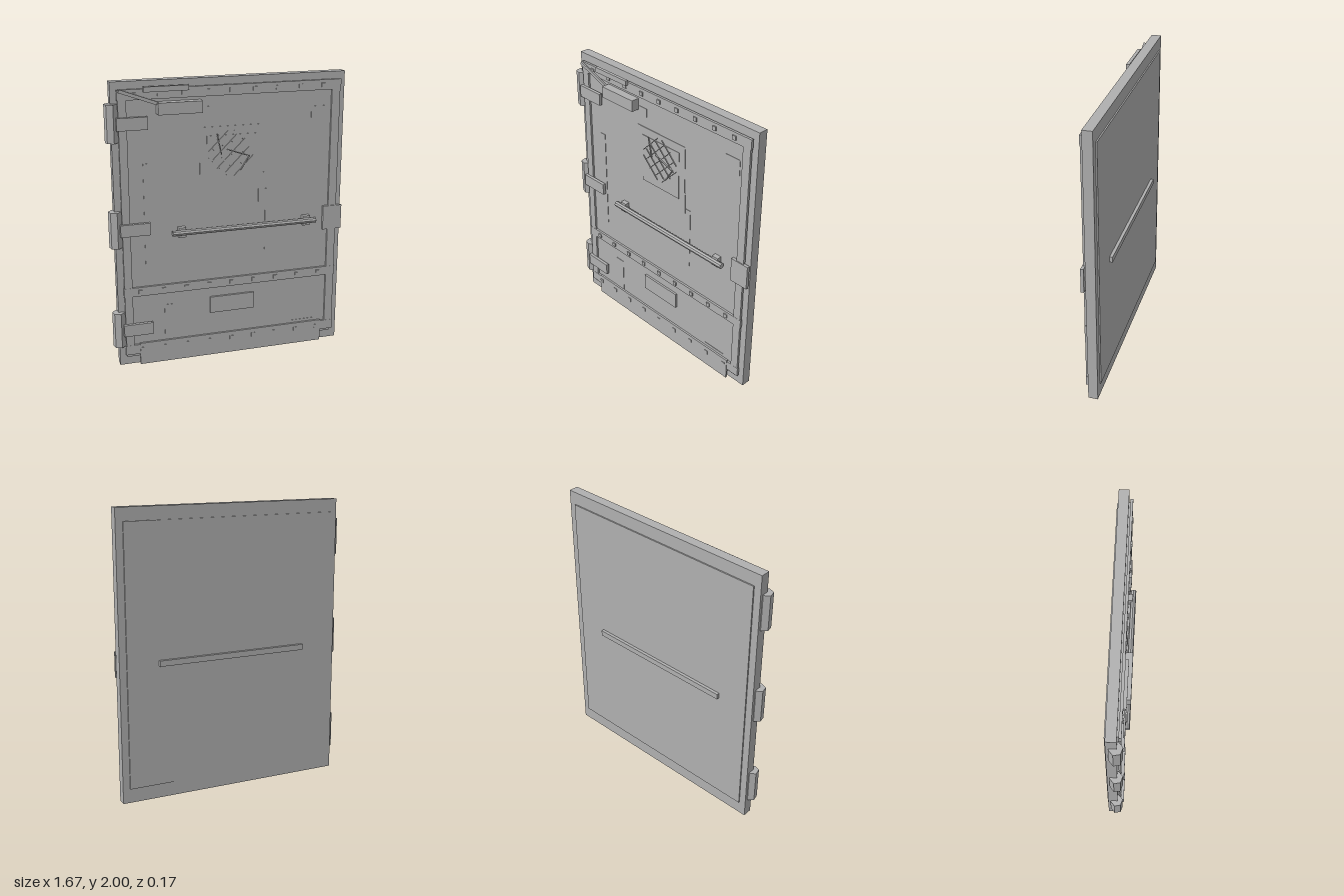
import * as THREE from 'three';

export function createModel() {
  const root = new THREE.Group();
  root.name = 'steelDoor';
  const steel = new THREE.MeshStandardMaterial({ color: 0xb0b0b0 });
  steel.name = 'grey steel';

  const add = (name, geometry, x, y, z) => {
    const mesh = new THREE.Mesh(geometry, steel);
    mesh.name = name;
    mesh.position.set(x, y, z);
    root.add(mesh);
    return mesh;
  };
  // Box given by its limits
  const box = (name, x0, x1, y0, y1, z0, z1) =>
    add(name, new THREE.BoxGeometry(x1 - x0, y1 - y0, z1 - z0), (x0 + x1) / 2, (y0 + y1) / 2, (z0 + z1) / 2);
  // Thin flat strip between two points on the face
  const strip = (name, x0, y0, x1, y1, width, z, depth) => {
    const mesh = add(name, new THREE.BoxGeometry(Math.hypot(x1 - x0, y1 - y0), width, depth), (x0 + x1) / 2, (y0 + y1) / 2, z);
    mesh.rotation.z = Math.atan2(y1 - y0, x1 - x0);
    return mesh;
  };
  const flat = (geometry) => {
    const g = geometry.toNonIndexed();
    g.computeVertexNormals();
    return g;
  };

  // Slab with its front and back skins
  box('slab', -0.8, 0.835, 0, 2, -0.057, 0.01);
  box('frontPanel', -0.75, 0.78, 0.06, 1.94, 0.01, 0.021);
  box('backPanel', -0.75, 0.785, 0.1, 1.91, -0.066, -0.057);
  box('backPushBar', -0.53, 0.56, 0.94, 0.98, -0.087, -0.06);

  // Raised front frame
  box('leftStile', 0.735, 0.795, 0.08, 1.95, 0.019, 0.035);
  box('rightStile', -0.755, -0.7, 0.08, 1.95, 0.019, 0.035);
  box('topRail', -0.76, 0.8, 1.88, 1.95, 0.019, 0.036);
  box('middleRail', -0.76, 0.8, 0.515, 0.58, 0.019, 0.036);
  box('bottomRail', -0.76, 0.8, 0.08, 0.15, 0.019, 0.036);
  box('kickPlate', -0.66, 0.7, 0, 0.16, 0.026, 0.04);
  box('lockPlate', 0.695, 0.835, 0.87, 1.045, 0.021, 0.042);
  box('nameplate', -0.145, 0.18, 0.325, 0.445, 0.02, 0.036);

  // Rivet rows
  for (const y of [1.915, 0.548, 0.115])
    for (let i = 0; i < 9; i++) {
      const x = -0.645 + 0.164 * i;
      box('rivet', x - 0.014, x + 0.014, y - 0.014, y + 0.014, 0.03, 0.044);
    }

  // Hinges: six-sided barrel and strap
  for (const [y, top] of [[0.275, 0.315], [1.005, 1.045], [1.73, 1.77]]) {
    const barrel = add('hingeBarrel', flat(new THREE.CylinderGeometry(0.045, 0.045, 0.255, 6)), -0.797, y, 0.004);
    barrel.rotation.y = 0.2;
    box('hingeStrap', -0.77, -0.565, top - 0.085, top, 0.032, 0.055);
  }

  // Front push bar on two brackets
  const bar = add('pushBar', flat(new THREE.CylinderGeometry(0.02, 0.02, 1.045, 8)), 0.1075, 0.955, 0.058);
  bar.rotation.z = Math.PI / 2;
  for (const x of [-0.345, 0.5625]) box('barBracket', x - 0.026, x + 0.026, 0.92, 0.99, 0.02, 0.055);

  // Door closer
  box('closerBody', -0.5, -0.2, 1.78, 1.86, 0.021, 0.08);
  strip('closerArm', -0.75, 1.945, -0.49, 1.85, 0.022, 0.05, 0.012);
  box('closerTrack', -0.59, -0.285, 1.93, 1.965, 0.036, 0.058);

  // Window: surround, pane and diagonal wire mesh
  box('windowSurround', -0.21, 0.243, 1.28, 1.67, 0.02, 0.024);
  box('windowPane', -0.16, 0.19, 1.26, 1.61, 0.02, 0.027);
  for (let i = -2; i <= 2; i++) {
    const o = i * 0.045, h = 0.1 - Math.abs(o) * 0.35;
    for (const s of [-1, 1])
      strip('windowWire', 0.01 + o - h, 1.48 - s * (o + h), 0.01 + o + h, 1.48 - s * (o - h), 0.004, 0.03, 0.006);
  }
  // Cracks in the glass
  for (const [x0, y0, x1, y1] of [[-0.09, 1.62, -0.06, 1.48], [-0.02, 1.51, 0.14, 1.455], [0.14, 1.46, 0.075, 1.36]])
    strip('crack', x0, y0, x1, y1, 0.006, 0.037, 0.008);

  // Thin stains and scuffs on the face
  for (const [x0, x1, y0, y1] of [
    [-0.6, -0.557, 0.71, 1.45], [0.21, 0.25, 1.1, 1.33], [0.26, 0.3, 0.76, 1.21], [0.59, 0.71, 1.65, 1.77],
    [-0.475, -0.4, 0.16, 0.425], [0.47, 0.65, 0.15, 0.18], [-0.19, -0.12, 1.75, 1.81],
  ]) box('stain', x0, x1, y0, y1, 0.018, 0.024);

  return root;
}
